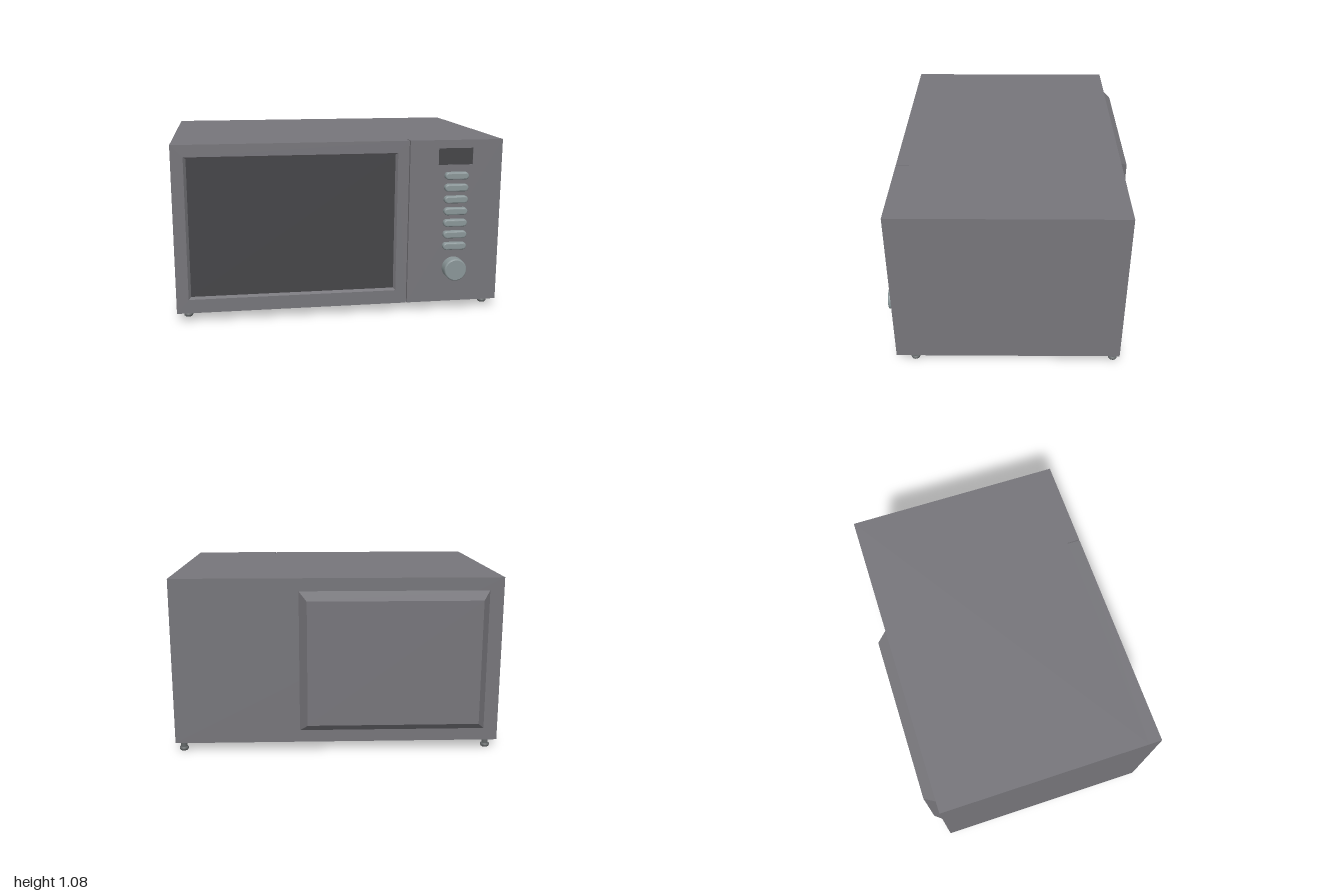
import * as THREE from 'three';

const mat = (color, side = THREE.FrontSide) => new THREE.MeshStandardMaterial({ color, side });

// Rectangle outline, corners optionally rounded
function rect(x0, x1, y0, y1, r = 0, Type = THREE.Shape) {
  const s = new Type();
  if (!r) {
    s.moveTo(x0, y0); s.lineTo(x1, y0); s.lineTo(x1, y1); s.lineTo(x0, y1); s.closePath();
    return s;
  }
  s.absarc(x1 - r, y0 + r, r, -Math.PI / 2, 0);
  s.absarc(x1 - r, y1 - r, r, 0, Math.PI / 2);
  s.absarc(x0 + r, y1 - r, r, Math.PI / 2, Math.PI);
  s.absarc(x0 + r, y0 + r, r, Math.PI, Math.PI * 1.5);
  s.closePath();
  return s;
}

// Sloping sides between two rectangles [x0, x1, y0, y1], optionally closed by the second
function slopedSides(a, za, b, zb, cap) {
  const ring = ([x0, x1, y0, y1], z) => [[x0, y0, z], [x1, y0, z], [x1, y1, z], [x0, y1, z]];
  const A = ring(a, za), B = ring(b, zb), pos = [];
  const quad = (p, q, r, s) => pos.push(...p, ...q, ...r, ...p, ...r, ...s);
  for (let i = 0; i < 4; i++) {
    const j = (i + 1) % 4;
    quad(A[j], A[i], B[i], B[j]);
  }
  if (cap) quad(B[3], B[2], B[1], B[0]);
  const g = new THREE.BufferGeometry();
  g.setAttribute('position', new THREE.Float32BufferAttribute(pos, 3));
  g.computeVertexNormals();
  return g;
}

export function createModel() {
  const model = new THREE.Group();
  const shell = mat(0x76757a), dark = mat(0x444447), metal = mat(0x8a9698), footMat = mat(0x626667);
  const add = (name, geometry, material, x = 0, y = 0, z = 0) => {
    const m = new THREE.Mesh(geometry, material);
    m.name = name;
    m.position.set(x, y, z);
    model.add(m);
    return m;
  };
  const BOTTOM = 0.056, TOP = 1.08, FRONT = 0.692, FACE = 0.61;

  // Cabinet
  add('cabinet', new THREE.BoxGeometry(2, TOP - BOTTOM, FACE + 0.692), shell,
    0, (TOP + BOTTOM) / 2, (FACE - 0.692) / 2);

  // Door frame and control panel, split by a narrow seam
  const plate = (name, x0, x1, hole) => {
    const s = rect(x0, x1, BOTTOM, TOP);
    s.holes.push(rect(...hole, 0, THREE.Path));
    add(name, new THREE.ExtrudeGeometry(s, { depth: FRONT - FACE, bevelEnabled: false }), shell, 0, 0, FACE);
  };
  const opening = [-0.927, 0.347, 0.141, 1.007], glass = [-0.912, 0.335, 0.153, 0.995];
  const screen = [0.6, 0.815, 0.928, 1.03];
  plate('doorFrame', -1, 0.416, opening);
  plate('controlPanel', 0.422, 1, screen);

  // Bevelled window recess, window and display
  add('windowBevel', slopedSides(opening, FRONT, glass, FRONT - 0.02, false),
    mat(0x76757a, THREE.DoubleSide));
  const pane = (name, [x0, x1, y0, y1], z) =>
    add(name, new THREE.PlaneGeometry(x1 - x0, y1 - y0), dark, (x0 + x1) / 2, (y0 + y1) / 2, z);
  pane('window', glass, FRONT - 0.02);
  pane('display', screen, FRONT - 0.004);

  // Column of rounded push buttons
  const bevel = 0.01;
  const buttonGeo = new THREE.ExtrudeGeometry(rect(-0.064, 0.064, -0.013, 0.013, 0.0125), {
    depth: 0.022, bevelThickness: bevel, bevelSize: bevel, bevelSegments: 4, curveSegments: 6,
  });
  for (let i = 0; i < 7; i++) add('button' + (i + 1), buttonGeo, metal, 0.712, 0.862 - i * 0.0738, FRONT - 0.001);

  // Rotary knob with a softened rim
  const lathe = (points, n) => new THREE.LatheGeometry(points.map(([x, y]) => new THREE.Vector2(x, y)), n);
  const knob = add('knob', lathe([[0.07, 0], [0.07, 0], [0.07, 0.058], [0.07, 0.058],
    [0.068, 0.064], [0.063, 0.067], [0.063, 0.067], [0, 0.067]], 40), metal, 0.712, 0.276, FRONT);
  knob.rotation.x = Math.PI / 2;

  // Raised rear cover with sloping sides
  add('rearCover', slopedSides([-0.915, 0.23, 0.132, 1.002], -0.692,
    [-0.866, 0.182, 0.185, 0.952], -0.762, true), shell);

  // Feet: short stem over a rounded pad
  const footGeo = lathe([[0, 0], [0.02, 0], [0.026, 0.005], [0.028, 0.012], [0.027, 0.02],
    [0.02, 0.023], [0.019, 0.025], [0.019, 0.06]], 20);
  for (const x of [-0.936, 0.954])
    for (const z of [0.58, -0.655]) add('foot', footGeo, footMat, x, 0, z);

  return model;
}
